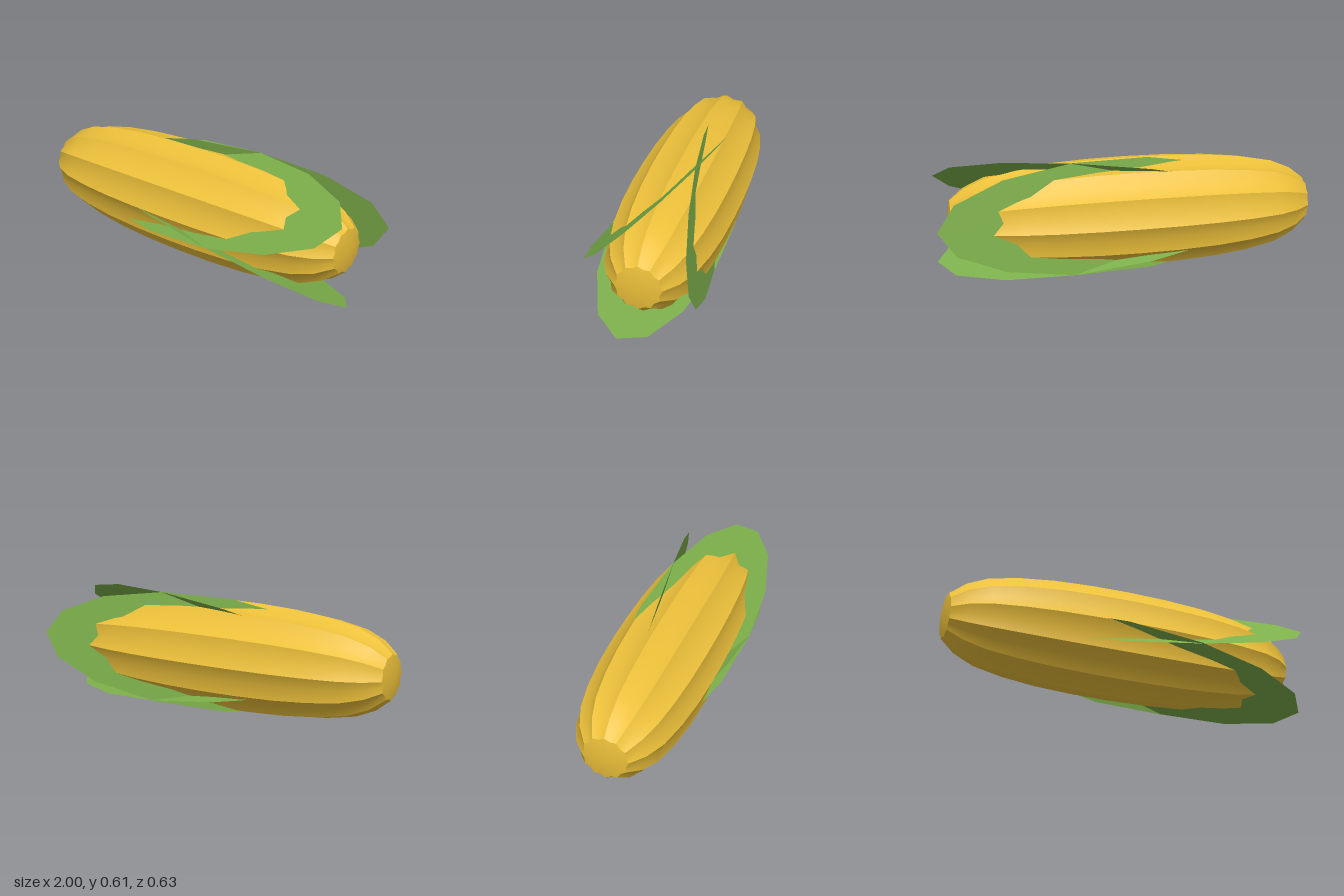
import * as THREE from 'three';
import { toCreasedNormals } from 'three/addons/utils/BufferGeometryUtils.js';

// Fluted, spindle-shaped cob lying along x: 12 sharp ridges with shallow valleys
function cobGeometry() {
  const half = [[0.973, 0], [0.952, 0.118], [0.875, 0.18], [0.767, 0.227],
    [0.607, 0.259], [0.42, 0.28], [0.206, 0.291]];
  const profile = [
    ...half.map(([x, r]) => new THREE.Vector2(r, -x)),
    new THREE.Vector2(0.294, 0),
    ...half.slice().reverse().map(([x, r]) => new THREE.Vector2(r, x)),
  ];
  const geometry = new THREE.LatheGeometry(profile, 24);
  const pos = geometry.attributes.position;
  for (let i = 0; i < pos.count; i++) {
    const column = Math.floor(i / profile.length);
    const k = column % 2 ? 0.912 : 1;
    pos.setXYZ(i, pos.getX(i) * k, pos.getY(i), pos.getZ(i) * k);
  }
  geometry.rotateZ(-Math.PI / 2);
  return toCreasedNormals(geometry, 0.6);
}

// Flat oval leaf, slanting outwards towards +x and cutting through the cob
function leafGeometry() {
  const geometry = new THREE.CircleGeometry(1, 14);
  geometry.scale(0.91, 0.3, 1);
  geometry.rotateX(-Math.PI / 2);
  geometry.rotateZ(Math.atan(0.143));
  geometry.translate(0.1, 0.138, 0);
  return geometry;
}

export function createModel() {
  const model = new THREE.Group();
  model.name = 'cornCob';
  model.position.set(0, 0.297, -0.016);

  const yellow = new THREE.MeshStandardMaterial({ color: 0xecc03a });
  const green = new THREE.MeshStandardMaterial({ color: 0x7cae4a, side: THREE.DoubleSide });

  const cob = new THREE.Mesh(cobGeometry(), yellow);
  cob.name = 'cob';
  cob.position.x = -0.027;
  model.add(cob);

  // Three husk leaves spaced evenly round the cob
  const leaf = leafGeometry();
  for (let i = 0; i < 3; i++) {
    const husk = new THREE.Mesh(leaf, green);
    husk.name = `huskLeaf${i + 1}`;
    husk.rotation.x = THREE.MathUtils.degToRad(40.4 + i * 120);
    model.add(husk);
  }

  const root = new THREE.Group();
  root.name = 'corn';
  root.add(model);
  return root;
}
